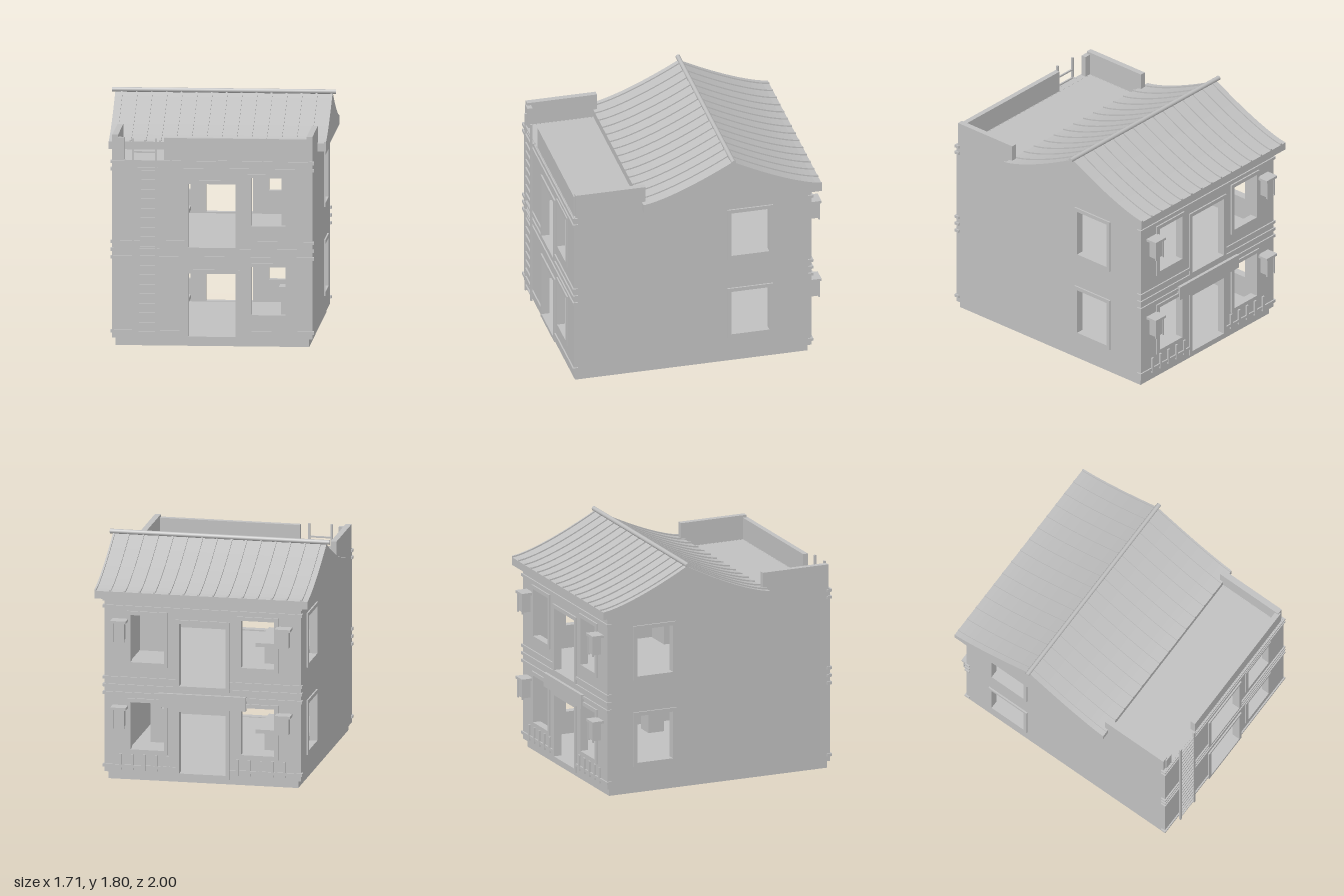
import * as THREE from 'three';

const grey = new THREE.MeshStandardMaterial({ color: 0xc0c0c0 });
grey.name = 'plain grey';

export function createModel() {
  const house = new THREE.Group();
  house.name = 'house';

  const add = (name, geometry, parent = house) => {
    const mesh = new THREE.Mesh(geometry, grey);
    mesh.name = name;
    parent.add(mesh);
    return mesh;
  };
  // Box given by its extents along each axis
  const box = (name, x0, x1, y0, y1, z0, z1, parent = house) => {
    const g = new THREE.BoxGeometry(x1 - x0, y1 - y0, z1 - z0);
    g.translate((x0 + x1) / 2, (y0 + y1) / 2, (z0 + z1) / 2);
    return add(name, g, parent);
  };
  const trace = (path, [u0, u1, v0, v1]) => {
    path.moveTo(u0, v0);
    path.lineTo(u1, v0);
    path.lineTo(u1, v1);
    path.lineTo(u0, v1);
    path.closePath();
    return path;
  };
  // Flat plate with rectangular openings, extruded along +z
  const plate = (outer, holes, depth) => {
    const shape = trace(new THREE.Shape(), outer);
    holes.forEach((h) => shape.holes.push(trace(new THREE.Path(), h)));
    return new THREE.ExtrudeGeometry(shape, { depth, bevelEnabled: false });
  };
  const ring = ([u0, u1, v0, v1]) => [u0 - 0.03, u1 + 0.03, v0 - 0.03, v1 + 0.03];

  const FRONT = 0.965, BACK = -0.905, SIDE = 0.765, T = 0.05, TOP = 1.43;

  // Base, floors and terrace
  box('base', -0.74, 0.74, 0, 0.065, -0.88, 0.95);
  box('groundFloor', -0.72, 0.72, 0.06, 0.07, -0.86, 0.92);
  box('upperFloor', -0.72, 0.72, 0.69, 0.75, -0.86, 0.92);
  box('terraceFloor', -0.72, 0.72, 1.37, TOP - 0.001, -0.86, 0.92);

  // Openings: [min, max, bottom, top]
  const doors = [[-0.18, 0.18, 0.075, 0.56], [-0.18, 0.18, 0.76, 1.25]];
  const windows = [[0.3, 0.56, 0.245, 0.615], [0.3, 0.56, 0.93, 1.3]];
  const flip = ([a, b, c, d]) => [-b, -a, c, d];
  const frontHoles = [...doors, ...windows];
  const backHoles = [...frontHoles, ...windows.map(flip)];
  const sideHoles = (a, b) => windows.map((w) => [a, b, w[2], w[3]]);

  // Front and back walls with raised frames
  const outer = [-SIDE, SIDE, 0.06, TOP];
  add('frontWall', plate(outer, frontHoles, T)).position.z = FRONT - T;
  add('backWall', plate(outer, backHoles, T)).position.z = BACK;
  frontHoles.forEach((h) => {
    add('frontFrame', plate(ring(h), [h], 0.012)).position.z = FRONT;
  });
  backHoles.forEach((h) => {
    add('backFrame', plate(ring(h), [h], 0.012)).position.z = BACK - 0.012;
  });

  // Side walls, drawn along -z and turned to face sideways
  const sideWall = (name, holes, x, frameX) => {
    const turn = (g) => g.rotateY(Math.PI / 2);
    add(name + 'Wall', turn(plate([-FRONT + T, -BACK - T, 0.06, TOP], holes, T))).position.x = x;
    holes.forEach((h) => {
      add(name + 'Frame', turn(plate(ring(h), [h], 0.012))).position.x = frameX;
    });
  };
  sideWall('left', sideHoles(0.27, 0.57), SIDE - T, SIDE);
  sideWall('right', sideHoles(0.36, 0.66), -SIDE, -SIDE - 0.012);

  // Horizontal mouldings on front and back, wrapping the corners
  const trim = new THREE.Group();
  trim.name = 'mouldings';
  house.add(trim);
  [0.11, 0.68, 0.74, 0.8, 1.36, 1.415].forEach((y) => {
    const split = y === 0.11 || y === 0.74 || y === 0.8;
    const spans = split ? [[-0.777, -0.21], [0.21, 0.777]] : [[-0.777, 0.777]];
    spans.forEach(([a, b]) => {
      const inset = split ? (a < 0 ? [a, -0.72] : [0.72, b]) : [a, b];
      box('frontMoulding', a, b, y - 0.011, y + 0.011, FRONT - 0.001, FRONT + 0.011, trim);
      box('backMoulding', a, b, y - 0.011, y + 0.011, BACK - 0.011, BACK + 0.001, trim);
      if (split) return;
      box('beam', inset[0], inset[1], y - 0.011, y + 0.011, FRONT - 0.03, FRONT, trim);
    });
    [-1, 1].forEach((s) => {
      const [a, b] = s < 0 ? [-0.777, -0.76] : [0.76, 0.777];
      box('cornerFront', a, b, y - 0.011, y + 0.011, FRONT - 0.03, FRONT + 0.011, trim);
      box('cornerBack', a, b, y - 0.011, y + 0.011, BACK - 0.011, BACK + 0.03, trim);
    });
  });

  // Terrace parapet with a gap for the ladder
  box('leftParapet', 0.72, 0.765, TOP, 1.62, 0.4, 0.95);
  box('rightParapet', -0.765, -0.72, TOP, 1.62, 0.4, 0.95);
  box('frontParapet', -0.37, 0.74, TOP, 1.6, 0.92, 0.96);
  box('parapetEnd', -0.74, -0.67, TOP, 1.6, 0.92, 0.96);

  // Swept gable roof: solid body with curved slopes
  const RIDGE = -0.27, SPAN = 0.7, STEPS = 14;
  const roofY = (d) => 1.49 + 0.28 * Math.pow(1 - Math.abs(d) / SPAN, 1.35);
  const curve = [];
  for (let i = -STEPS; i <= STEPS; i++) {
    const d = (i / STEPS) * SPAN;
    curve.push([-(RIDGE + d), roofY(d)]);
  }
  const sweep = (points, width) => {
    const shape = new THREE.Shape(points.map((p) => new THREE.Vector2(p[0], p[1])));
    const g = new THREE.ExtrudeGeometry(shape, { depth: width, bevelEnabled: false });
    return g.rotateY(Math.PI / 2);
  };
  const first = curve[0], last = curve[curve.length - 1];
  add('roof', sweep([...curve, [last[0], TOP], [first[0], TOP]], 1.66)).position.x = -0.83;

  // Tile ribs following the slopes
  const lower = curve.map(([u, v]) => [u, v - 0.004]).reverse();
  const rib = sweep([...curve.map(([u, v]) => [u, v + 0.011]), ...lower], 0.014);
  for (let i = 0; i < 15; i++) {
    add('roofRib', rib).position.x = -0.787 + i * 0.1145;
  }
  const ridge = new THREE.CylinderGeometry(0.018, 0.018, 1.71, 10).rotateZ(Math.PI / 2);
  add('ridgePole', ridge).position.set(0, 1.785, RIDGE);

  // Ladder up to the terrace
  const ladder = new THREE.Group();
  ladder.name = 'ladder';
  house.add(ladder);
  [-0.602, -0.428].forEach((x) => {
    box('rail', x - 0.008, x + 0.008, 0.06, 1.6, 0.984, 1, ladder);
    box('bracket', x - 0.006, x + 0.006, 1.42, 1.432, 0.95, 0.99, ladder);
  });
  for (let i = 0; i < 20; i++) {
    const y = 0.105 + i * 0.0732;
    box('rung', -0.6, -0.43, y - 0.006, y + 0.006, 0.986, 0.998, ladder);
  }

  // Lanterns and fences on the back
  [-1, 1].forEach((s) => {
    [0.42, 1.1].forEach((y) => {
      const lantern = new THREE.Group();
      lantern.name = 'lantern';
      lantern.position.set(s * 0.64, y, 0);
      house.add(lantern);
      box('lanternCap', -0.06, 0.06, 0.147, 0.167, -1, BACK, lantern);
      box('lanternBody', -0.042, 0.042, 0.012, 0.147, -0.985, -0.92, lantern);
      [-0.04, 0.04].forEach((x) => {
        box('lanternPost', x - 0.006, x + 0.006, 0, 0.15, -0.992, -0.98, lantern);
      });
    });
    for (let i = 0; i < 5; i++) {
      const x = s * (0.27 + i * 0.092);
      box('fencePicket', x - 0.01, x + 0.01, 0.08, 0.205, BACK - 0.014, BACK);
    }
  });
  box('signBoard', -0.34, 0.34, 0.59, 0.7, -0.93, BACK);

  // Simple furniture
  box('wardrobe', 0.49, 0.71, 0.75, 1.34, 0.15, 0.45);
  box('chairSeat', 0.45, 0.6, 0.31, 0.34, 0, 0.15);
  box('chairBack', 0.515, 0.6, 0.34, 0.425, 0, 0.15);
  box('chairBase', 0.465, 0.6, 0.07, 0.31, 0.01, 0.14);
  box('ceilingLamp', 0.24, 0.34, 0.59, 0.69, 0.2, 0.3);
  [0.07, 0.75].forEach((y) => {
    box('tableTop', -0.66, -0.24, y + 0.14, y + 0.17, -0.1, 0.4);
    box('tableBase', -0.6, -0.3, y, y + 0.14, -0.05, 0.35);
  });

  return house;
}
